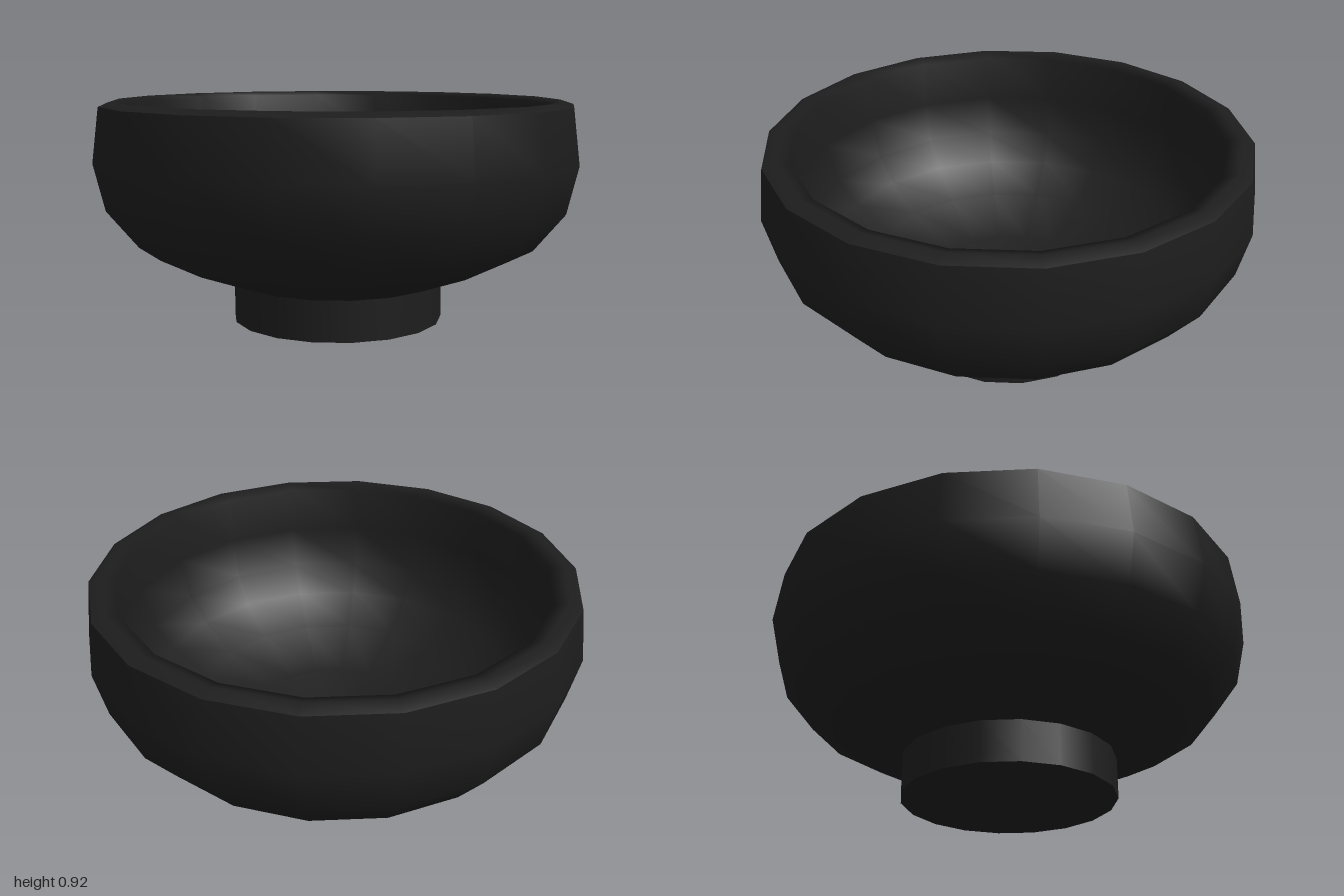
import * as THREE from 'three';

const SIDES = 18;

export function createModel() {
  const group = new THREE.Group();
  const charcoal = new THREE.MeshStandardMaterial({ color: 0x1d1d1d });
  charcoal.name = 'charcoal';

  // Each lathe is smooth within itself; the seams between them stay sharp.
  const turned = (name, profile) => {
    const points = profile.map(([r, y]) => new THREE.Vector2(r, y));
    const mesh = new THREE.Mesh(new THREE.LatheGeometry(points, SIDES), charcoal);
    mesh.name = name;
    group.add(mesh);
  };

  // Foot ring with its flat underside
  turned('footUnderside', [[0, 0], [0.44, 0]]);
  turned('footWall', [[0.44, 0], [0.44, 0.167]]);

  // Rounded outer wall, widest at two thirds of the height
  turned('outerWall', [
    [0.44, 0.167], [0.66, 0.25], [0.83, 0.337],
    [0.955, 0.49], [1, 0.68], [0.972, 0.9],
  ]);

  // Crowned rim flowing smoothly into the deep, rounded hollow
  turned('rimAndInnerBowl', [
    [0.972, 0.9], [0.918, 0.918], [0.865, 0.9],
    [0.875, 0.7], [0.83, 0.53], [0.745, 0.42],
    [0.6, 0.31], [0.36, 0.215], [0, 0.17],
  ]);

  return group;
}
